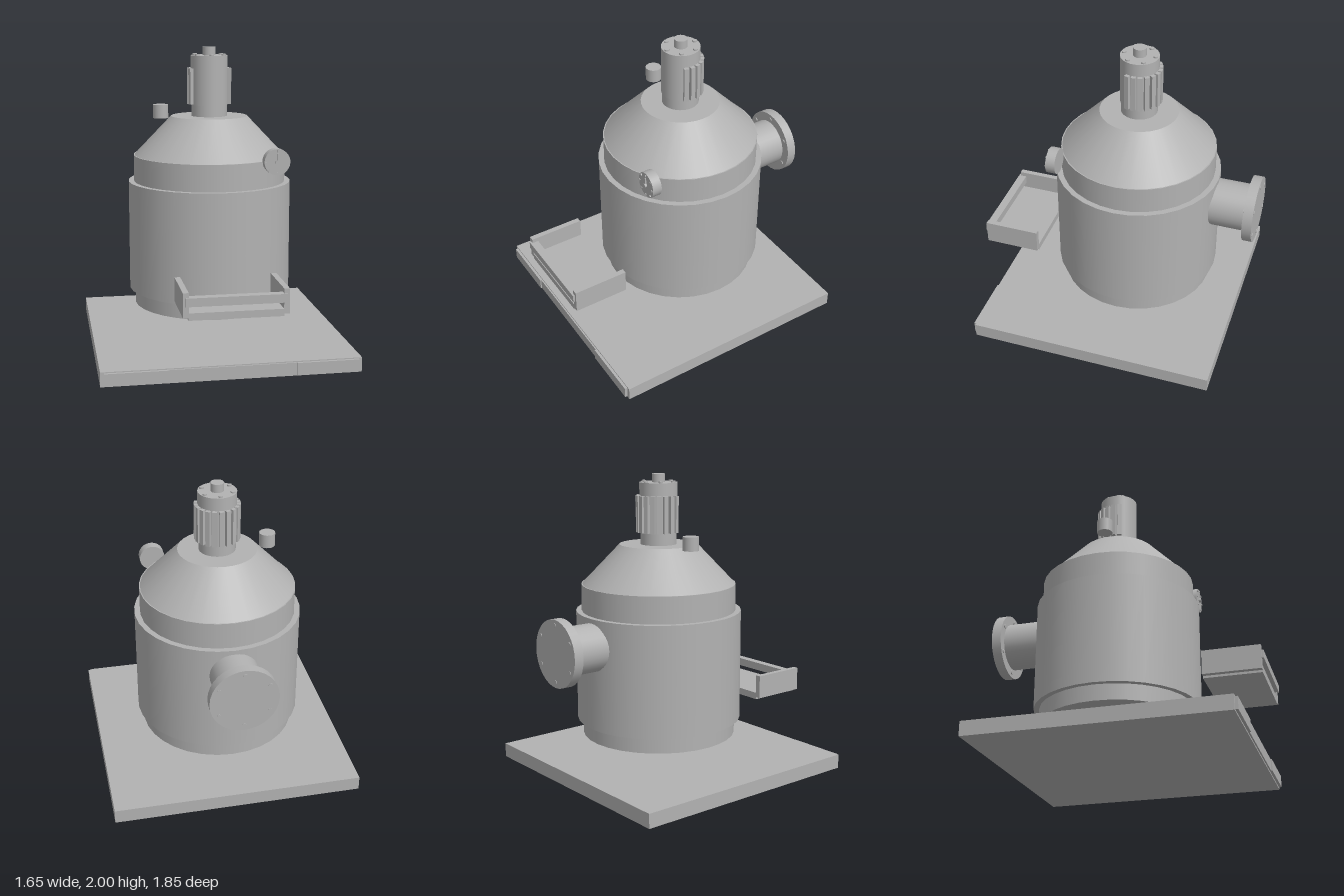
import * as THREE from 'three';

const steel = new THREE.MeshStandardMaterial({ color: 0xb2b2b2 });
steel.name = 'grey steel';

function add(parent, name, geometry, x, y, z) {
  const mesh = new THREE.Mesh(geometry, steel);
  mesh.name = name;
  mesh.position.set(x, y, z);
  parent.add(mesh);
  return mesh;
}

// box given by its limits on each axis
function box(parent, name, x0, x1, y0, y1, z0, z1) {
  return add(parent, name, new THREE.BoxGeometry(x1 - x0, y1 - y0, z1 - z0),
    (x0 + x1) / 2, (y0 + y1) / 2, (z0 + z1) / 2);
}

// upright cylinder or cone between two heights
function upright(parent, name, rBottom, rTop, y0, y1, x = 0, z = 0, sides = 32) {
  return add(parent, name, new THREE.CylinderGeometry(rTop, rBottom, y1 - y0, sides), x, (y0 + y1) / 2, z);
}

// cylinder lying along z between two depths
function lying(parent, name, r, z0, z1, x, y, sides = 32) {
  const g = new THREE.CylinderGeometry(r, r, z1 - z0, sides).rotateX(Math.PI / 2);
  return add(parent, name, g, x, y, (z0 + z1) / 2);
}

function group(parent, name, x = 0, y = 0, z = 0) {
  const g = new THREE.Group();
  g.name = name;
  g.position.set(x, y, z);
  parent.add(g);
  return g;
}

export function createModel() {
  const model = new THREE.Group();
  model.name = 'processVessel';
  const axisZ = -0.095;

  // base plate with front panels
  const base = group(model, 'base');
  box(base, 'basePlate', -0.823, 0.823, 0, 0.095, -0.825, 0.82);
  box(base, 'leftFrontPanel', 0.4, 0.8, 0.01, 0.088, 0.82, 0.838);
  box(base, 'middleFrontPanel', -0.4, 0.4, 0.01, 0.088, 0.82, 0.83);
  box(base, 'rightFrontPanel', -0.8, -0.4, 0.01, 0.088, 0.82, 0.838);

  // vessel
  const vessel = group(model, 'vessel', 0, 0, axisZ);
  upright(vessel, 'plinth', 0.513, 0.513, 0.26, 0.366);
  upright(vessel, 'jacket', 0.55, 0.55, 0.366, 1.103);
  upright(vessel, 'upperShell', 0.513, 0.513, 1.103, 1.28);
  upright(vessel, 'coneRoof', 0.506, 0.258, 1.28, 1.54);

  // motor with cooling fins around the back and sides
  const motor = group(model, 'motor', 0, 0, axisZ);
  upright(motor, 'motorNeck', 0.12, 0.12, 1.54, 1.615);
  upright(motor, 'motorBody', 0.125, 0.125, 1.615, 1.945);
  upright(motor, 'motorShaft', 0.043, 0.043, 1.945, 2.0, 0, 0, 24);
  for (let i = 0; i < 13; i++) {
    const a = THREE.MathUtils.degToRad(-18 + 18 * i);
    const fin = add(motor, 'coolingFin', new THREE.BoxGeometry(0.035, 0.24, 0.03),
      0.131 * Math.cos(a), 1.74, -0.131 * Math.sin(a));
    fin.rotation.y = a;
  }
  for (let i = 0; i < 6; i++) {
    const a = Math.PI / 6 + (i * Math.PI) / 3;
    upright(motor, 'motorBolt', 0.015, 0.015, 1.945, 1.955, 0.103 * Math.cos(a), 0.103 * Math.sin(a), 12);
  }

  // small cap beside the motor
  upright(model, 'sideCap', 0.052, 0.052, 1.53, 1.62, -0.33, axisZ, 20);

  // dial gauge
  const gauge = group(model, 'gauge', 0.363, 1.284, 0);
  lying(gauge, 'gaugeCase', 0.085, 0.33, 0.393, 0, 0);
  lying(gauge, 'gaugeHub', 0.014, 0.393, 0.408, 0, 0, 12);
  box(gauge, 'gaugeNeedle', -0.004, 0.004, 0.01, 0.055, 0.393, 0.402);
  for (let i = 0; i < 8; i++) {
    const a = (i * Math.PI) / 4;
    const tick = add(gauge, 'gaugeTick', new THREE.BoxGeometry(0.014, 0.006, 0.008),
      0.072 * Math.cos(a), 0.072 * Math.sin(a), 0.396);
    tick.rotation.z = a;
  }

  // rear nozzle with bolted flange
  const nozzle = group(model, 'nozzle', 0, 0.917, 0);
  lying(nozzle, 'nozzlePipe', 0.158, -0.86, -0.5, 0, 0);
  lying(nozzle, 'nozzleFlange', 0.22, -0.922, -0.858, 0, 0);
  for (let i = 0; i < 6; i++) {
    const a = Math.PI / 6 + (i * Math.PI) / 3;
    lying(nozzle, 'flangeBolt', 0.014, -0.926, -0.852, 0.185 * Math.cos(a), 0.185 * Math.sin(a), 12);
  }

  // front tray, open at the rear
  const tray = group(model, 'tray');
  box(tray, 'trayFloor', -0.295, 0.295, 0.42, 0.466, 0.54, 0.912);
  for (const s of [-1, 1]) {
    const inner = s * 0.292, outer = s * 0.328;
    box(tray, 'traySide', Math.min(inner, outer), Math.max(inner, outer), 0.435, 0.592, 0.54, 0.912);
  }
  box(tray, 'trayFrontBar', -0.312, 0.312, 0.508, 0.562, 0.87, 0.925);

  return model;
}
